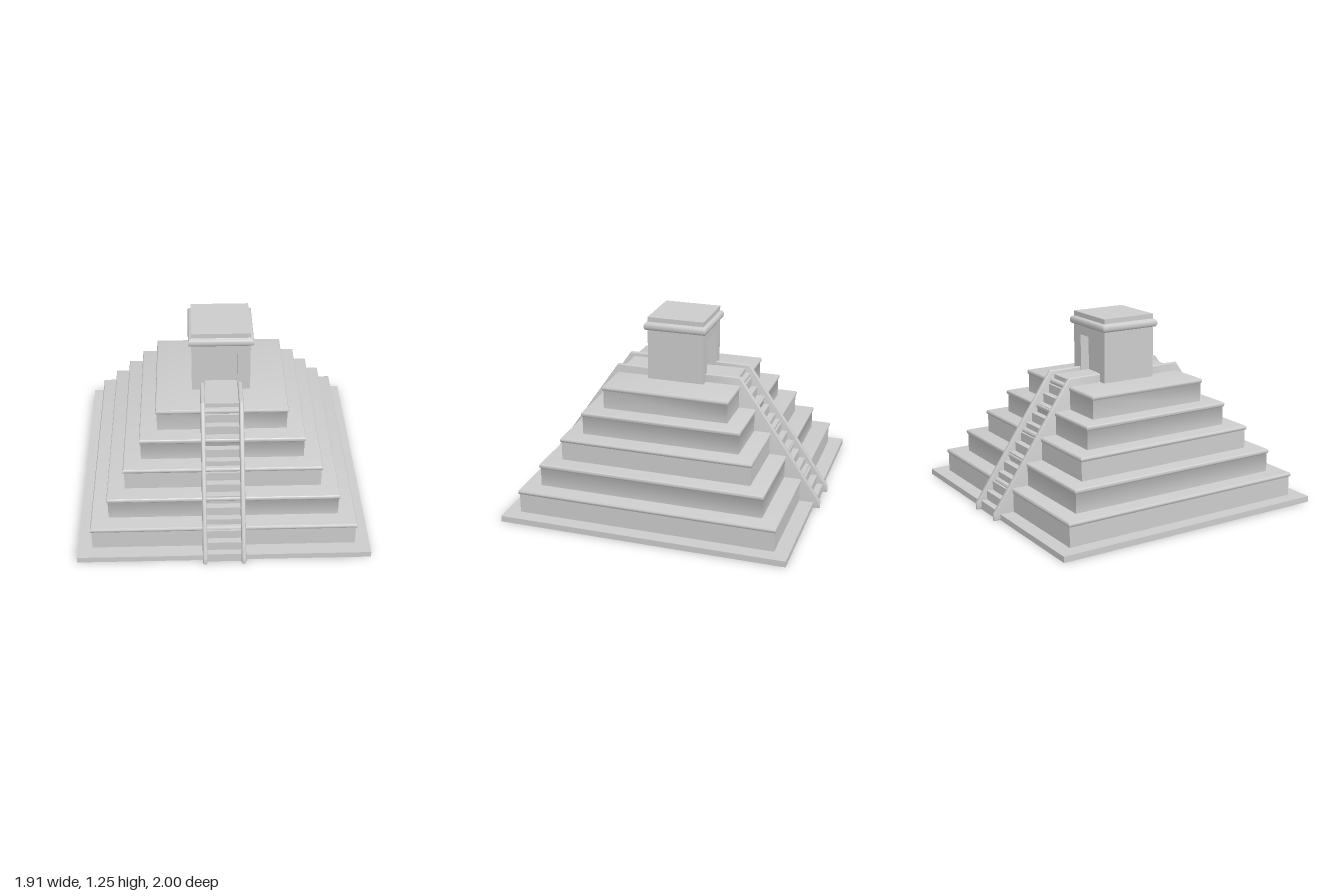
import * as THREE from 'three';
import { toCreasedNormals } from 'three/addons/utils/BufferGeometryUtils.js';

const stone = new THREE.MeshStandardMaterial({ color: 0xcccccc });

function part(name, geometry, parent) {
  const mesh = new THREE.Mesh(toCreasedNormals(geometry, 0.7), stone);
  mesh.name = name;
  parent.add(mesh);
  return mesh;
}

// Square solid swept from a [half width, height] profile, bottom to top
function squareSolid(profile) {
  const points = profile.map(([half, y]) => new THREE.Vector2(half * Math.SQRT2, y));
  return new THREE.LatheGeometry(points, 4, Math.PI / 4);
}

// Half-round moulding between two heights, bulging out from a half width
function bulge(half, y0, y1, out, steps = 8) {
  const points = [];
  for (let i = 0; i <= steps; i++) {
    const a = -Math.PI / 2 + (Math.PI * i) / steps;
    points.push([half + out * Math.cos(a), (y0 + y1) / 2 + ((y1 - y0) / 2) * Math.sin(a)]);
  }
  return points;
}

const polygon = (points) => new THREE.Shape(points.map(([x, y]) => new THREE.Vector2(x, y)));

// Extrude a (z, y) side profile along x, centred on x = 0
function sideExtrude(points, width, bevel = 0) {
  const geometry = new THREE.ExtrudeGeometry(polygon(points), {
    depth: width - 2 * bevel, bevelEnabled: bevel > 0, bevelThickness: bevel,
    bevelSize: bevel, bevelOffset: -bevel, bevelSegments: 4,
  });
  geometry.translate(0, 0, -width / 2 + bevel);
  return geometry.rotateY(-Math.PI / 2);
}

function createStaircase() {
  const stairs = new THREE.Group();
  const count = 14, top = 0.85, zBottom = 0.97, zTop = 0.4;
  const rise = top / count, run = (zBottom - zTop) / (count - 1);

  // Solid flight with a landing that reaches the doorway
  const profile = [[0.1, 0], [zBottom, 0]];
  for (let i = 0; i < count; i++) {
    const z = zBottom - i * run;
    if (i > 0) profile.push([z, i * rise]);
    profile.push([z, (i + 1) * rise]);
  }
  profile.push([0.1, top]);
  part('steps', sideExtrude(profile, 0.224), stairs);

  // Rounded side walls
  const rail = [[0.15, 0], [1, 0], [1, 0.05], [0.43, 0.877], [0.15, 0.877]];
  for (const side of [-1, 1]) {
    part(side > 0 ? 'leftBalustrade' : 'rightBalustrade', sideExtrude(rail, 0.03, 0.012), stairs)
      .position.x = side * 0.125;
  }
  return stairs;
}

function createTemple() {
  const temple = new THREE.Group();
  temple.name = 'temple';
  const half = 0.193, door = 0.107, back = 0.13, floor = 0.82, lintel = 1.1;

  // H-shaped plan leaves a recessed doorway at front and back
  const plan = polygon([
    [-half, -half], [-door, -half], [-door, -back], [door, -back], [door, -half], [half, -half],
    [half, half], [door, half], [door, back], [-door, back], [-door, half], [-half, half],
  ]);
  const walls = new THREE.ExtrudeGeometry(plan, { depth: lintel - floor, bevelEnabled: false });
  walls.rotateX(-Math.PI / 2).translate(0, floor, 0);
  part('templeWalls', walls, temple);

  // Lintel band, rounded cornice and flat roof
  part('templeRoof', squareSolid([
    [0, lintel], [half, lintel], [half, 1.163],
    ...bulge(0.2, 1.163, 1.213, 0.014),
    [half, 1.218], [half, 1.25], [0, 1.25],
  ]), temple);
  return temple;
}

export function createModel() {
  const model = new THREE.Group();
  model.name = 'steppedPyramid';

  part('base', squareSolid([[0, 0], [0.955, 0], [0.955, 0.04], [0, 0.04]]), model);

  // Five terraces, each with a rounded lip
  for (let i = 0; i < 5; i++) {
    const bottom = 0.04 + i * 0.156, top = 0.2 + i * 0.155, wall = 0.859 - i * 0.1085;
    part(`terrace${i + 1}`, squareSolid([
      [0, bottom], [wall, bottom], [wall, top - 0.03],
      ...bulge(wall, top - 0.03, top, 0.008), [0, top],
    ]), model);
  }

  // Matching staircases at front and back
  for (const [name, angle] of [['frontStaircase', 0], ['backStaircase', Math.PI]]) {
    const stairs = createStaircase();
    stairs.name = name;
    stairs.rotation.y = angle;
    model.add(stairs);
  }

  model.add(createTemple());
  return model;
}
